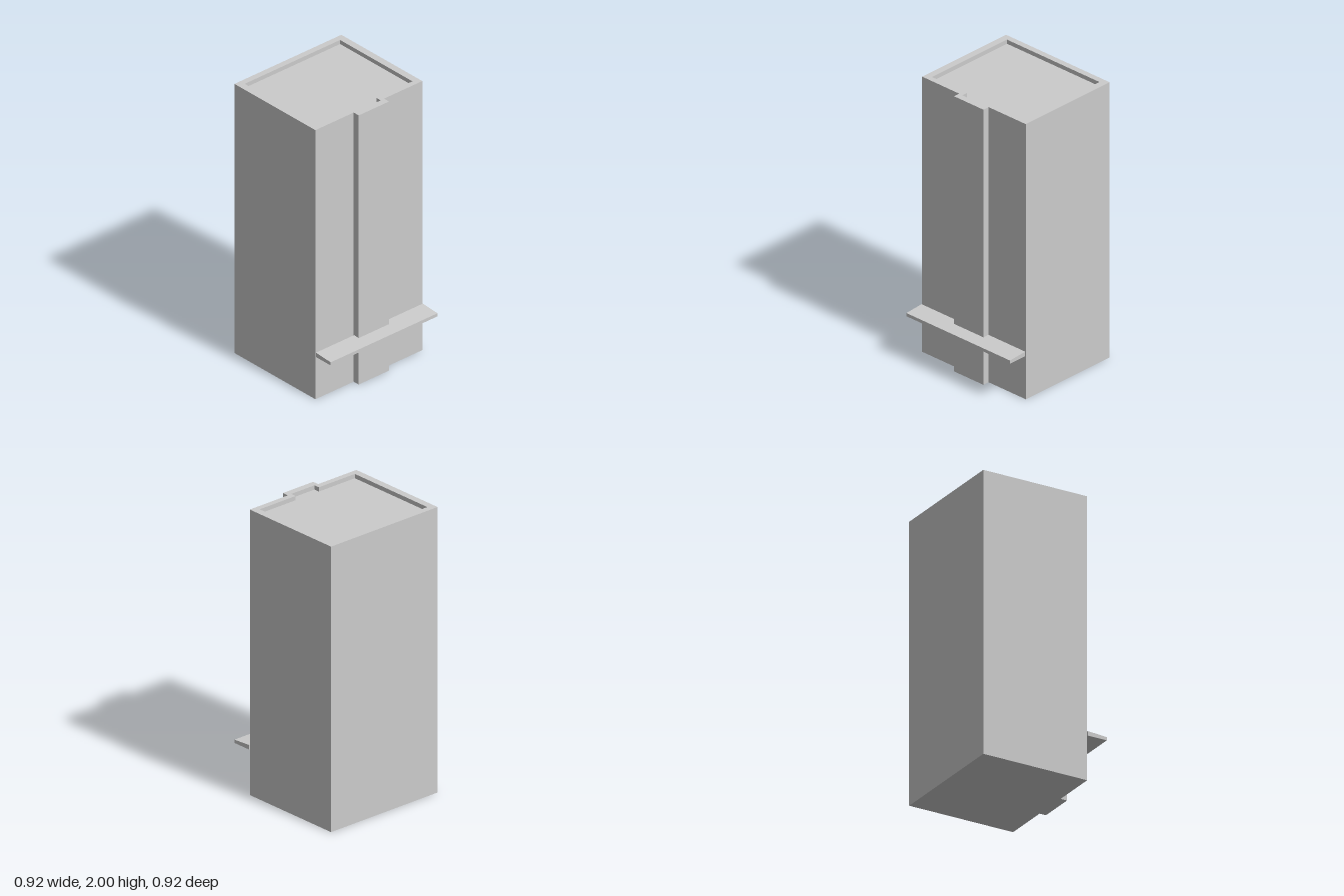
import * as THREE from 'three';

const HEIGHT = 2, ROOF = 1.97;
const material = new THREE.MeshStandardMaterial({ color: 0xcccccc, flatShading: true });

// Rectangular plan with a central projection on the front (+z), as [x, z] corners.
function plan(halfW, back, front, pierHalfW, pierFront) {
  return [
    [-halfW, front], [-pierHalfW, front], [-pierHalfW, pierFront], [pierHalfW, pierFront],
    [pierHalfW, front], [halfW, front], [halfW, back], [-halfW, back],
  ].map(([x, z]) => new THREE.Vector2(x, -z));
}

// Extrudes a plan upward from one height to another.
function extrudeUp(name, shape, y0, y1) {
  const geometry = new THREE.ExtrudeGeometry(shape, { depth: y1 - y0, bevelEnabled: false });
  geometry.rotateX(-Math.PI / 2).translate(0, y0, 0);
  const mesh = new THREE.Mesh(geometry, material);
  mesh.name = name;
  return mesh;
}

export function createModel() {
  const group = new THREE.Group();
  group.name = 'towerBlock';

  const outer = plan(0.458, -0.46, 0.314, 0.13, 0.362);
  const inner = plan(0.409, -0.417, 0.274, 0.1, 0.316);

  // Tower walls with a full-height front pier and a parapet around the sunken roof
  const walls = new THREE.Shape(outer);
  walls.holes.push(new THREE.Path(inner));
  group.add(extrudeUp('wallsAndParapet', walls, 0, HEIGHT));

  // Solid core closing the base and forming the roof deck
  group.add(extrudeUp('roofDeck', new THREE.Shape(inner), 0, ROOF));

  // Canopy across the front, sloping down away from the wall; profile is [z, y]
  const profile = [[0.319, 0.316], [0.46, 0.316], [0.46, 0.339], [0.319, 0.348]];
  const canopyShape = new THREE.Shape(profile.map(([z, y]) => new THREE.Vector2(-z, y)));
  const canopyGeometry = new THREE.ExtrudeGeometry(canopyShape, { depth: 0.916, bevelEnabled: false });
  canopyGeometry.translate(0, 0, -0.458).rotateY(Math.PI / 2);
  const canopy = new THREE.Mesh(canopyGeometry, material);
  canopy.name = 'canopy';
  group.add(canopy);

  return group;
}
